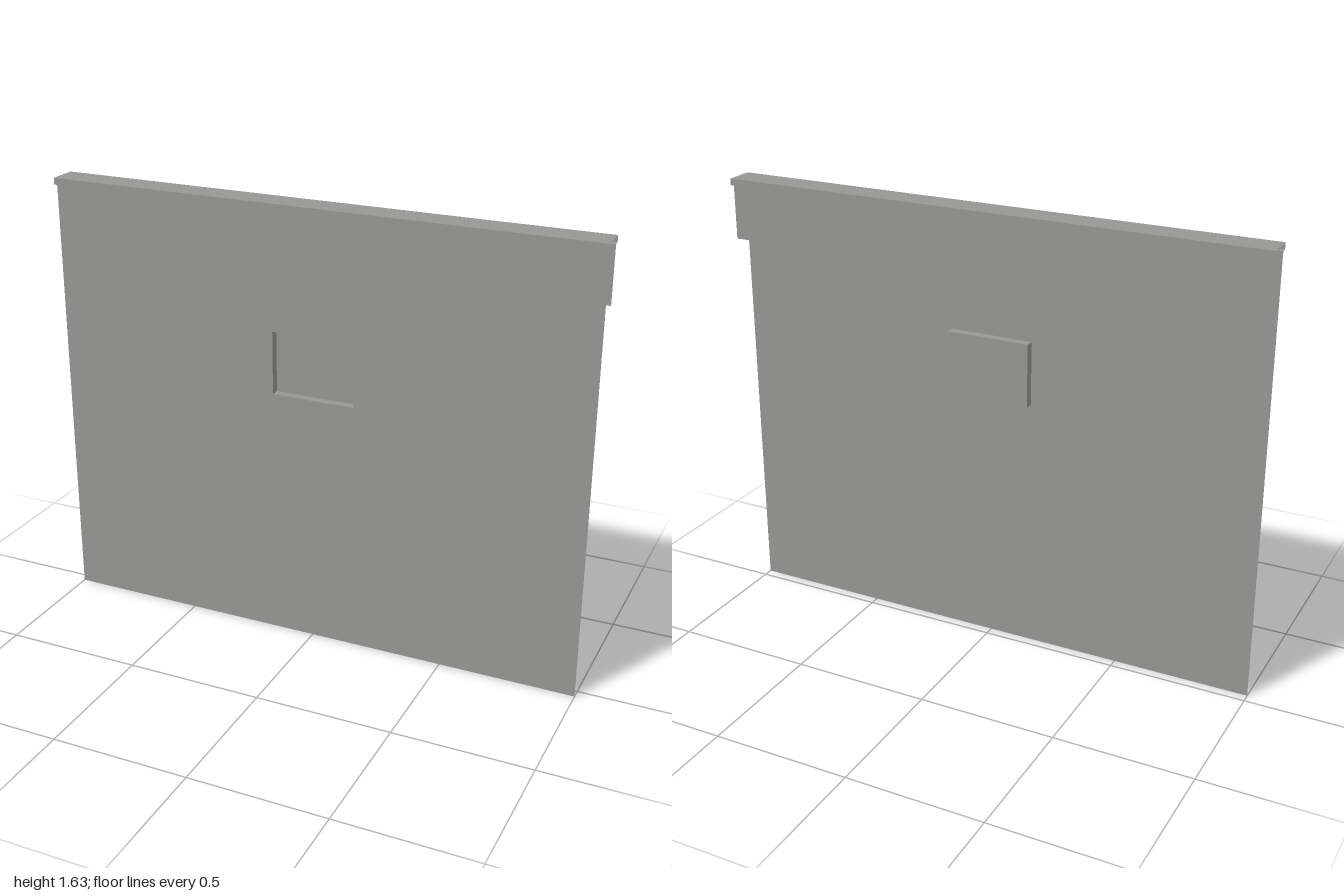
import * as THREE from 'three';

export function createModel() {
  const group = new THREE.Group();
  const metal = new THREE.MeshStandardMaterial({ color: 0x979795, side: THREE.DoubleSide });
  metal.name = 'grey sheet metal';

  const add = (name, geometry, parent = group) => {
    const mesh = new THREE.Mesh(geometry, metal);
    mesh.name = name;
    parent.add(mesh);
    return mesh;
  };

  const halfWidth = 1, sheetZ = 0.035, lipZ = 0.053;
  const lipY = 1.604, topY = 1.628, skirtY = 1.403;
  const holeX = 0.153, holeBottom = 0.938, holeTop = 1.17, recessZ = 0.003;

  // Front sheet with the rectangular opening
  const panel = new THREE.Shape([
    new THREE.Vector2(-halfWidth, 0), new THREE.Vector2(halfWidth, 0),
    new THREE.Vector2(halfWidth, lipY), new THREE.Vector2(-halfWidth, lipY),
  ]);
  panel.holes.push(new THREE.Path([
    new THREE.Vector2(-holeX, holeBottom), new THREE.Vector2(-holeX, holeTop),
    new THREE.Vector2(holeX, holeTop), new THREE.Vector2(holeX, holeBottom),
  ]));
  add('frontSheet', new THREE.ShapeGeometry(panel)).position.z = sheetZ;

  // Folded cap and short back skirt, open at both ends: [z, y] points of the fold
  const fold = [
    [sheetZ, lipY], [lipZ, lipY], [lipZ, topY],
    [-lipZ, topY], [-lipZ, lipY], [-sheetZ, lipY], [-sheetZ, skirtY],
  ];
  const names = ['frontFlange', 'frontLip', 'capTop', 'backLip', 'backFlange', 'backSkirt'];
  names.forEach((name, i) => {
    const [z0, y0] = fold[i], [z1, y1] = fold[i + 1];
    const strip = add(name, new THREE.PlaneGeometry(2 * halfWidth, Math.hypot(z1 - z0, y1 - y0)));
    strip.position.set(0, (y0 + y1) / 2, (z0 + z1) / 2);
    strip.rotation.x = Math.atan2(z1 - z0, y1 - y0);
  });

  // Shallow recess behind the opening
  const recess = new THREE.Group();
  recess.name = 'recess';
  group.add(recess);
  const height = holeTop - holeBottom, depth = sheetZ - recessZ;
  const midY = (holeTop + holeBottom) / 2, midZ = (sheetZ + recessZ) / 2;
  add('recessBack', new THREE.PlaneGeometry(2 * holeX, height), recess).position.set(0, midY, recessZ);
  for (const side of [-1, 1]) {
    const wall = add(side > 0 ? 'recessLeftWall' : 'recessRightWall', new THREE.PlaneGeometry(depth, height), recess);
    wall.position.set(side * holeX, midY, midZ);
    wall.rotation.y = -side * Math.PI / 2;
    const ledge = add(side > 0 ? 'recessTop' : 'recessBottom', new THREE.PlaneGeometry(2 * holeX, depth), recess);
    ledge.position.set(0, midY + side * height / 2, midZ);
    ledge.rotation.x = side * Math.PI / 2;
  }

  return group;
}
